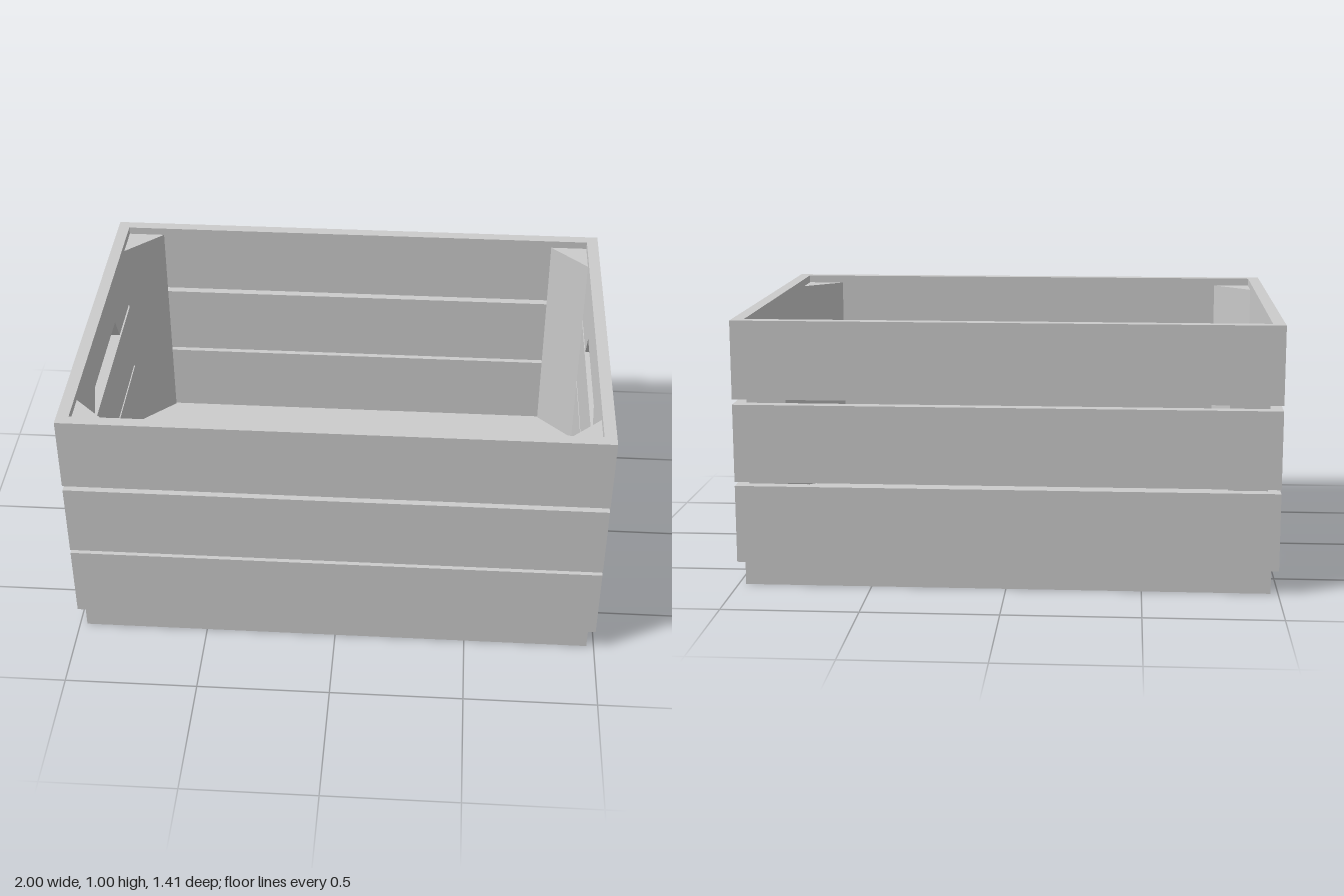
import * as THREE from 'three';

const W = 1, D = 0.705;        // outer half width and half depth
const TX = 0.045, TZ = 0.043;  // board thickness of ends and long sides
const BOARD_H = 0.29;
const ROWS = [0.09, 0.395, 0.705]; // bottom of each row of boards

export function createModel() {
  const crate = new THREE.Group();
  crate.name = 'crate';
  const material = new THREE.MeshStandardMaterial({ color: 0xcccccc, flatShading: true });

  const add = (name, geometry, x, y, z) => {
    const mesh = new THREE.Mesh(geometry, material);
    mesh.name = name;
    mesh.position.set(x, y, z);
    crate.add(mesh);
  };
  const polygon = (points) => new THREE.Shape(points.map(([x, y]) => new THREE.Vector2(x, y)));

  // End board outline, with the hand hold cut into its lower edge
  const handleOutline = polygon([
    [-D, 0], [-0.285, 0], [-0.225, 0.105], [0.225, 0.105], [0.285, 0],
    [D, 0], [D, BOARD_H], [-D, BOARD_H],
  ]);
  const handleBoard = new THREE.ExtrudeGeometry(handleOutline, { depth: TX, bevelEnabled: false })
    .translate(0, 0, -TX / 2)
    .rotateY(-Math.PI / 2);
  const endBoard = new THREE.BoxGeometry(TX, BOARD_H, 2 * D).translate(0, BOARD_H / 2, 0);
  const sideBoard = new THREE.BoxGeometry(2 * (W - TX), BOARD_H, TZ).translate(0, BOARD_H / 2, 0);

  // Walls: three rows of boards, the top end boards carrying the hand holds
  ROWS.forEach((y, row) => {
    for (const s of [-1, 1]) {
      const end = s > 0 ? 'left' : 'right';
      const isTop = row === ROWS.length - 1;
      add(`${end}${isTop ? 'HandleBoard' : 'EndBoard'}${row + 1}`,
        isTop ? handleBoard : endBoard, s * (W - TX / 2), y, 0);
      add(`${s > 0 ? 'front' : 'back'}Board${row + 1}`, sideBoard, 0, y, s * (D - TZ / 2));
    }
  });

  // Floor slats
  const slat = new THREE.BoxGeometry(1.945, 0.086, 0.44);
  [-0.47, 0, 0.47].forEach((z, i) => add(`floorSlat${i + 1}`, slat, 0, 0.043, z));

  // Triangular corner posts, standing on the floor just below the rim
  const px = W - TX, pz = D - TZ;
  for (const sx of [-1, 1]) {
    for (const sz of [-1, 1]) {
      const outline = polygon([
        [sx * px, -sz * pz], [sx * (px - 0.145), -sz * pz], [sx * px, -sz * (pz - 0.14)],
      ]);
      const post = new THREE.ExtrudeGeometry(outline, { depth: 0.879, bevelEnabled: false })
        .rotateX(-Math.PI / 2);
      add(`${sz > 0 ? 'front' : 'back'}${sx > 0 ? 'Left' : 'Right'}CornerPost`, post, 0, 0.086, 0);
    }
  }
  return crate;
}
